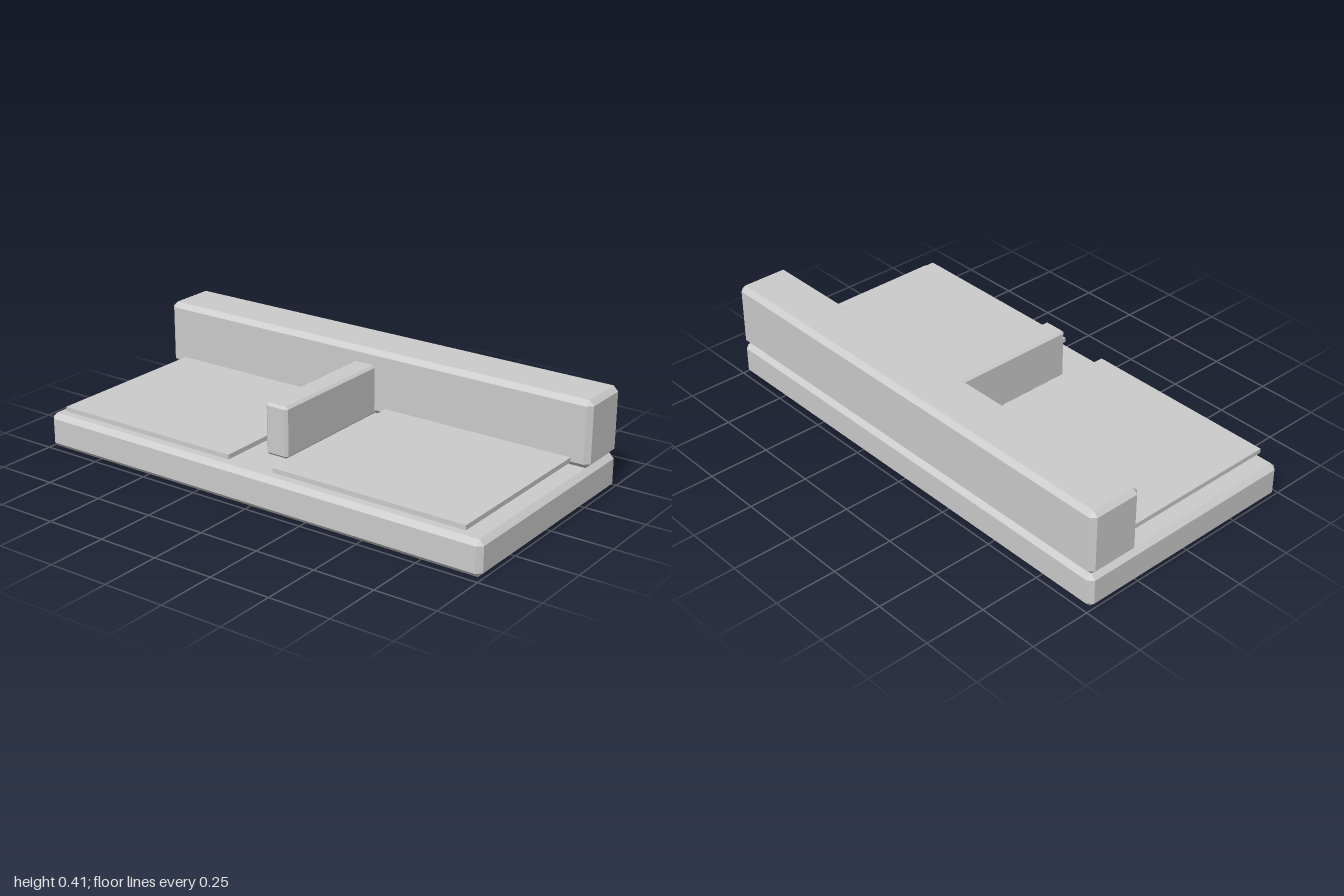
import * as THREE from 'three';
import { ConvexGeometry } from 'three/addons/geometries/ConvexGeometry.js';

const material = new THREE.MeshStandardMaterial({ color: 0xcccccc, flatShading: true });

// Place a mesh whose geometry is centred on its own origin, by its min and max corners
function place(name, geometry, min, max) {
  const mesh = new THREE.Mesh(geometry, material);
  mesh.name = name;
  mesh.position.set(...min.map((v, i) => (v + max[i]) / 2));
  return mesh;
}

// Box with every edge cut by a single flat chamfer
function chamferBox(name, min, max, c) {
  const half = min.map((v, i) => (max[i] - v) / 2);
  const points = [];
  for (const sx of [-1, 1]) for (const sy of [-1, 1]) for (const sz of [-1, 1]) {
    // each corner becomes three points, one on each adjoining face
    for (let face = 0; face < 3; face++) {
      const p = [sx, sy, sz].map((s, i) => s * (half[i] - (i === face ? 0 : c)));
      points.push(new THREE.Vector3(...p));
    }
  }
  return place(name, new ConvexGeometry(points), min, max);
}

function plainBox(name, min, max) {
  const size = min.map((v, i) => max[i] - v);
  return place(name, new THREE.BoxGeometry(...size), min, max);
}

export function createModel() {
  const sofa = new THREE.Group();
  sofa.name = 'sofa';

  // Base and backrest span the full width
  sofa.add(chamferBox('base', [-1, 0.003, -0.485], [1, 0.145, 0.485], 0.02));
  sofa.add(chamferBox('backrest', [-1, 0.146, -0.485], [1, 0.414, -0.258], 0.02));

  // Central armrest between the seats
  sofa.add(chamferBox('armrest', [-0.05, 0.146, -0.29], [0.05, 0.353, 0.31], 0.01));

  // Thin seat pads, held just above the base
  sofa.add(plainBox('leftSeatPad', [0.103, 0.163, -0.28], [0.927, 0.182, 0.465]));
  sofa.add(plainBox('rightSeatPad', [-0.927, 0.163, -0.28], [-0.103, 0.182, 0.465]));

  return sofa;
}
